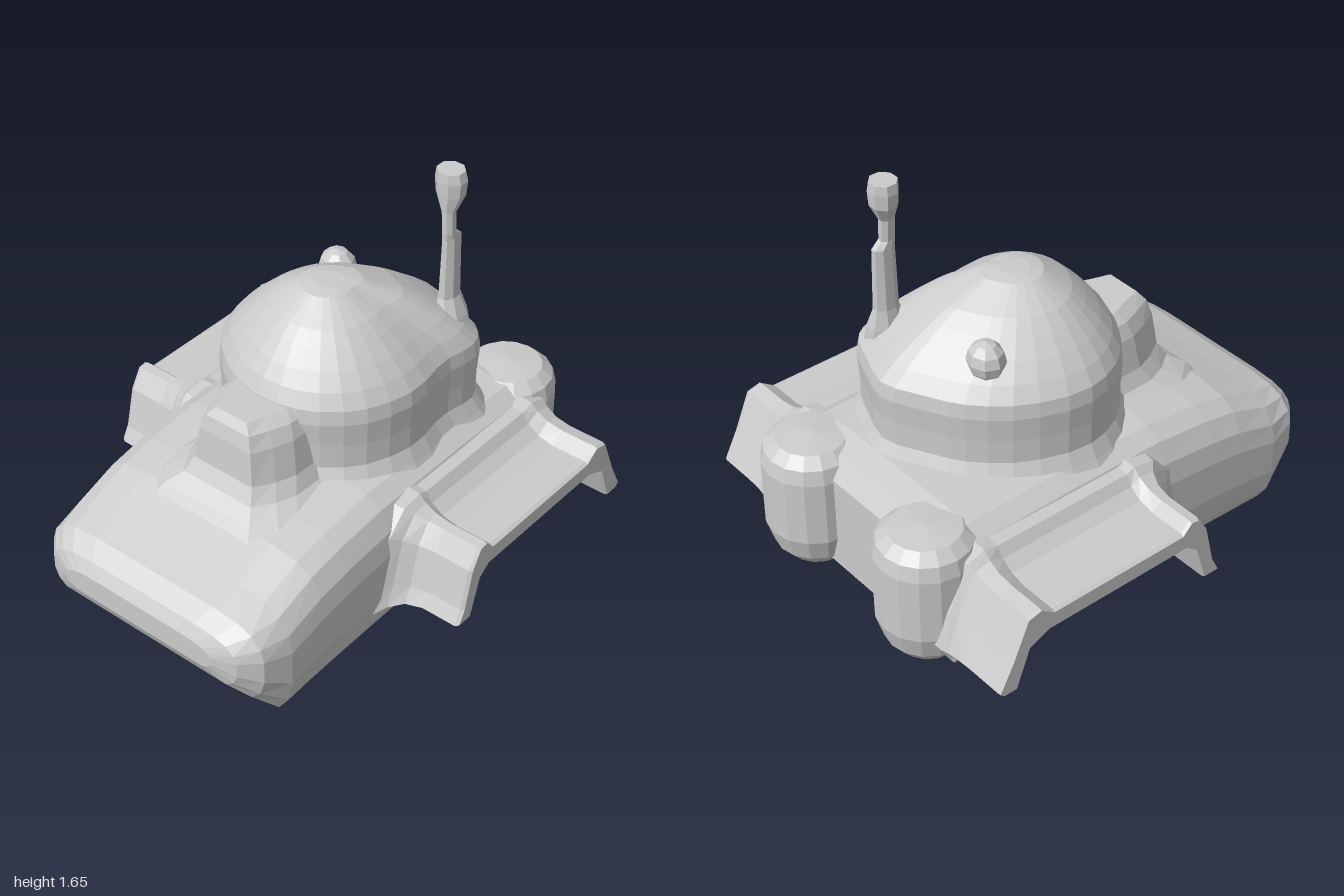
import * as THREE from 'three';

const material = new THREE.MeshStandardMaterial({ color: 0xcccccc, flatShading: true });

// Skin closed rings of [x, y, z] points, cap both ends and face outwards.
// Capped concave rings are triangulated in the plane given by flat(p) -> [a, b].
function loft(rings, flat) {
  const n = rings[0].length;
  const pos = rings.flat(2);
  let idx = [];
  for (let r = 0; r < rings.length - 1; r++) {
    for (let i = 0; i < n; i++) {
      const a = r * n + i, b = r * n + (i + 1) % n;
      idx.push(a, b, b + n, a, b + n, a + n);
    }
  }
  const cap = (ring, base, flip) => {
    const pts = ring.map(p => new THREE.Vector2(...flat(p)));
    const cw = THREE.ShapeUtils.isClockWise(pts);
    const order = ring.map((_, i) => (cw ? n - 1 - i : i));
    for (const t of THREE.ShapeUtils.triangulateShape(order.map(i => pts[i]), [])) {
      const f = t.map(i => base + order[i]);
      if (cw !== flip) f.reverse();
      idx.push(...f);
    }
  };
  cap(rings[0], 0, true);
  cap(rings[rings.length - 1], (rings.length - 1) * n, false);

  // The sign of the side walls' volume about the centre tells the winding
  const v = i => new THREE.Vector3(pos[i * 3], pos[i * 3 + 1], pos[i * 3 + 2]);
  let volume = 0;
  for (let i = 0; i < idx.length; i += 3) {
    volume += v(idx[i]).dot(v(idx[i + 1]).cross(v(idx[i + 2])));
  }
  if (volume < 0) idx.reverse();
  const g = new THREE.BufferGeometry();
  g.setAttribute('position', new THREE.Float32BufferAttribute(pos, 3));
  g.setIndex(idx);
  g.computeVertexNormals();
  return g;
}

export function createModel() {
  const model = new THREE.Group();
  model.name = 'tank';
  const add = (name, geometry, x = 0, y = 0, z = 0) => {
    const mesh = new THREE.Mesh(geometry, material);
    mesh.name = name;
    mesh.position.set(x, y, z);
    model.add(mesh);
    return mesh;
  };

  // Hull: rounded sections from nose to tail as [z, bottom, top, half width]
  const half = [[0.45, 0], [0.88, 0], [0.96, 0.13], [1, 0.33], [1, 0.62],
    [0.97, 0.77], [0.89, 0.9], [0.77, 0.97], [0.55, 1]];
  const section = [...half, ...half.map(([u, v]) => [-u, v]).reverse()];
  const hull = [
    [1, 0.27, 0.37, 0.36], [0.97, 0.21, 0.42, 0.46], [0.9, 0.13, 0.47, 0.53],
    [0.78, 0, 0.51, 0.56], [0.6, 0.005, 0.58, 0.56], [0.45, 0.01, 0.61, 0.56],
    [0.2, 0.015, 0.64, 0.56], [-0.25, 0.02, 0.64, 0.56], [-0.68, 0.025, 0.63, 0.56],
    [-0.79, 0.04, 0.6, 0.55], [-0.84, 0.12, 0.53, 0.5]];
  add('hull', loft(hull.map(([z, b, t, w]) =>
    section.map(([u, v]) => [u * w, b + v * (t - b), z])), p => [p[0], p[1]]));

  // Fenders: arched strip as [z, y, flare z, flare y], flaring into the hull
  const arch = [
    [0.19, 0.2, 0.12, -0.05], [0.16, 0.26, 0.12, 0], [0.12, 0.43, 0.1, 0.05],
    [0.07, 0.51, 0.06, 0.06], [0.03, 0.515, 0, 0.07], [-0.01, 0.475, 0, 0.1],
    [-0.63, 0.475, 0, 0.1], [-0.69, 0.515, 0, 0.07], [-0.75, 0.5, -0.02, 0.06],
    [-0.82, 0.34, -0.04, 0.03], [-0.88, 0.22, -0.02, 0], [-0.86, 0.2, 0, -0.05],
    [-0.8, 0.2, 0.05, -0.05], [-0.74, 0.36, 0.05, -0.04], [-0.65, 0.4, 0.03, -0.04],
    [0.01, 0.4, -0.03, -0.04], [0.06, 0.36, -0.05, -0.04], [0.11, 0.2, -0.05, -0.05]];
  for (const side of [1, -1]) {
    const rings = [[0.45, 1], [0.55, 0.9], [0.58, 0.5], [0.63, 0.15], [0.7, 0], [0.85, 0], [0.865, -0.08]];
    add(side > 0 ? 'leftFender' : 'rightFender', loft(rings.map(([x, f]) =>
      arch.map(([z, y, dz, dy]) => [side * x, y + f * dy, z + f * dz])), p => [p[2], p[1]]));

    // Rear pods
    const pod = [[0, 0.03], [0.06, 0.04], [0.12, 0.08], [0.17, 0.14], [0.2, 0.24], [0.2, 0.52],
      [0.185, 0.58], [0.14, 0.62], [0, 0.635]].map(p => new THREE.Vector2(...p));
    add(side > 0 ? 'leftRearPod' : 'rightRearPod', new THREE.LatheGeometry(pod, 16), side * 0.35, 0, -0.8);
  }

  // Turret: lopsided plan outline, shrinking upwards into a dome
  const plan = new THREE.CatmullRomCurve3([
    [0, 0.32], [0.2, 0.28], [0.36, 0.14], [0.435, -0.08], [0.41, -0.3], [0.43, -0.46],
    [0.38, -0.55], [0.25, -0.61], [0.08, -0.66], [-0.08, -0.59], [-0.22, -0.51],
    [-0.36, -0.35], [-0.44, -0.1], [-0.38, 0.1], [-0.2, 0.26],
  ].map(([x, z]) => new THREE.Vector3(x, 0, z)), true).getPoints(36).slice(0, -1);
  const levels = [[0.55, 1.14], [0.62, 1.05], [0.68, 0.985], [0.78, 0.985], [0.88, 1],
    [0.94, 0.98], [1, 0.89], [1.06, 0.77], [1.12, 0.63], [1.17, 0.5], [1.21, 0.35], [1.24, 0.24], [1.25, 0.12]];
  add('turret', loft(levels.map(([y, s]) => {
    const lift = Math.max(0, y - 0.94) * 0.15;
    return plan.map(p => [p.x * s, y, -0.13 + lift + (p.z + 0.13) * s]);
  }), p => [p.x ?? p[0], p[2]]));

  // Sloped block on the turret front: [y, half width, front z]
  const block = [[0.52, 0.34, 0.68], [0.6, 0.28, 0.61], [0.64, 0.22, 0.55], [0.7, 0.19, 0.515],
    [0.84, 0.165, 0.5], [0.9, 0.14, 0.485], [0.935, 0.1, 0.46]];
  add('turretFrontBlock', loft(block.map(([y, w, z]) => [
    [-w - 0.04, y, 0.05], [-w - 0.03, y, z - 0.16], [-w, y, z - 0.08], [-w * 0.75, y, z],
    [w * 0.75, y, z], [w, y, z - 0.08], [w + 0.03, y, z - 0.16], [w + 0.04, y, 0.05]]),
  p => [p[0], p[2]]));

  // Small knob on the right rear of the dome
  const knob = add('turretKnob', new THREE.SphereGeometry(0.08, 8, 6), -0.19, 1.07, -0.38);
  knob.scale.set(1, 1, 0.9);

  // Mast with a flared head: [y, x centre, z centre, half x, half z]
  const mast = [[0.85, 0.31, -0.47, 0.09, 0.09], [1.02, 0.29, -0.47, 0.06, 0.075],
    [1.1, 0.28, -0.475, 0.035, 0.05], [1.36, 0.28, -0.475, 0.027, 0.045],
    [1.39, 0.28, -0.457, 0.025, 0.03], [1.48, 0.275, -0.457, 0.025, 0.03],
    [1.55, 0.268, -0.472, 0.055, 0.05], [1.61, 0.268, -0.473, 0.06, 0.053], [1.65, 0.265, -0.473, 0.052, 0.05]];
  add('mast', loft(mast.map(([y, x, z, a, b]) => Array.from({ length: 8 }, (_, i) => {
    const t = (i + 0.5) * Math.PI / 4;
    return [x + a * 1.08 * Math.cos(t), y, z + b * 1.08 * Math.sin(t)];
  })), p => [p[0], p[2]]));

  return model;
}
